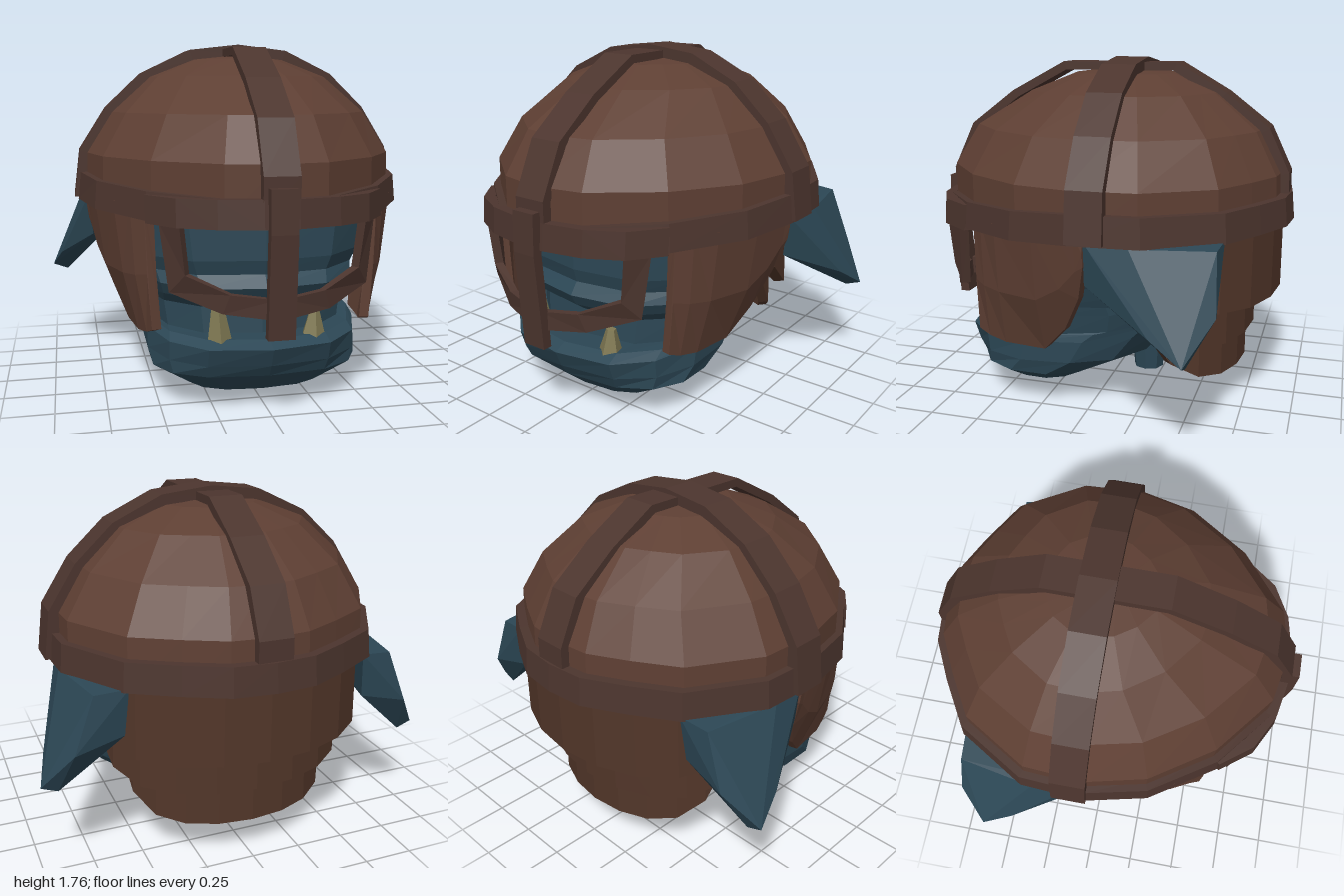
import * as THREE from 'three';
import { ConvexGeometry } from 'three/addons/geometries/ConvexGeometry.js';

const mat = (color) => new THREE.MeshStandardMaterial({ color, flatShading: true, side: THREE.DoubleSide });
const V = (x, y, z) => new THREE.Vector3(x, y, z);
const lerp = THREE.MathUtils.lerp;

// Skin a list of closed cross-sections; loop joins the last to the first, otherwise ends are capped
function loft(sections, loop = false) {
  const n = sections[0].length, m = sections.length, tris = [];
  for (let i = 0; i < (loop ? m : m - 1); i++) {
    const A = sections[i], B = sections[(i + 1) % m];
    for (let j = 0; j < n; j++) {
      const k = (j + 1) % n;
      tris.push([A[j], A[k], B[k]], [A[j], B[k], B[j]]);
    }
  }
  if (!loop) {
    for (let j = 1; j < n - 1; j++) {
      tris.push([sections[0][0], sections[0][j + 1], sections[0][j]]);
      tris.push([sections[m - 1][0], sections[m - 1][j], sections[m - 1][j + 1]]);
    }
  }
  // turn the faces outwards
  const volume = tris.reduce((s, [a, b, c]) => s + a.dot(b.clone().cross(c)), 0);
  const points = tris.flatMap(([a, b, c]) => (volume < 0 ? [a, c, b] : [a, b, c]));
  const g = new THREE.BufferGeometry().setFromPoints(points);
  g.computeVertexNormals();
  return g;
}

// Helmet outline seen from above, [x, z]
const half = [[0, 0.9], [0.25, 0.85], [0.56, 0.6], [0.77, 0.28], [0.84, -0.02], [0.82, -0.35], [0.62, -0.69], [0.4, -0.82], [0.2, -0.92], [0, -0.94]];
const outline = [...half, ...half.slice(1, -1).reverse().map(([x, z]) => [-x, z])];
const onOutline = ([x, z], s, y) => V(x * s, y, (z + 0.02) * s - 0.02);

export function createModel() {
  const model = new THREE.Group();
  const leather = mat(0x5e3f33), strapMat = mat(0x4c352e), plate = mat(0x523629);
  const skin = mat(0x2c4755), tuskMat = mat(0x7f7852);
  const add = (name, geometry, material) => {
    const mesh = new THREE.Mesh(geometry, material);
    mesh.name = name;
    model.add(mesh);
    return mesh;
  };
  const flip = (sections, side) => sections.map((s) => s.map((p) => V(p.x * side, p.y, p.z)));

  // Hollow dome rings: width scale, front z, back z, y; outer side up, inner side down
  const domeRings = [
    [0.96, 0.86, -0.9, 0.95], [0.955, 0.86, -0.89, 1.2], [0.8, 0.73, -0.78, 1.41],
    [0.575, 0.43, -0.56, 1.59], [0.3, 0.2, -0.34, 1.68], [0.01, 0, -0.06, 1.705],
  ];
  const inner = domeRings.map(([s, f, b, y]) => [s * 0.95, f * 0.95, b * 0.95, y - 0.035 * (y > 1)]).reverse();
  add('helmetDome', loft([...domeRings, ...inner].map(([s, f, b, y]) =>
    outline.map(([x, z]) => V(x * s, y, lerp(b, f, (z + 0.94) / 1.84)))), true), leather);

  // Rim band, dipping towards the front
  add('rimBand', loft(outline.map((p) => {
    const dip = Math.max(0, p[1]);
    const low = 0.96 - 0.05 * dip, high = 1.1 - 0.06 * dip;
    return [onOutline(p, 1.015, low), onOutline(p, 1, high), onOutline(p, 0.93, high), onOutline(p, 0.93, low)];
  }), true), strapMat);

  // Straps over the crown
  const crest = [[0.9, 0.98], [0.9, 1.15], [0.78, 1.4], [0.54, 1.58], [0.25, 1.735], [-0.35, 1.735], [-0.6, 1.59], [-0.82, 1.42], [-0.925, 1.2], [-0.93, 0.98]];
  add('crestStrap', loft(crest.map(([z, y]) => {
    const zi = z * 0.945, yi = 0.98 + (y - 0.98) * 0.945;
    return [V(-0.085, y, z), V(0.085, y, z), V(0.085, yi, zi), V(-0.085, yi, zi)];
  })), strapMat);
  const arc = [[0.87, 0.97], [0.84, 1.21], [0.7, 1.43], [0.51, 1.61], [0.26, 1.73], [0, 1.76]];
  const crossPath = [...arc, ...arc.slice(0, -1).reverse().map(([x, y]) => [-x, y])];
  add('crossStrap', loft(crossPath.map(([x, y]) => {
    const xi = x * 0.93, yi = 0.97 + (y - 0.97) * 0.93, zf = -0.015 + 0.01 * (y - 0.97);
    return [V(x, y, zf), V(x, y, zf - 0.175), V(xi, yi, zf - 0.175), V(xi, yi, zf)];
  })), strapMat);

  // Visor: brow plate, nose bar and eye frames
  const brow = [[0.57, 0.62], [0.45, 0.78], [0.28, 0.87], [0.08, 0.91]];
  const browPath = [...brow, ...brow.slice().reverse().map(([x, z]) => [-x, z])];
  add('browPlate', loft(browPath.map(([x, z]) => [V(x, 0.92, z), V(x, 1.05, z - 0.01), V(x * 0.93, 1.05, z - 0.06), V(x * 0.93, 0.92, z - 0.06)])), strapMat);
  const bar = [[1.1, 0.945], [0.9, 0.95], [0.55, 0.92], [0.42, 0.91]];
  add('noseBar', loft(bar.map(([y, z]) => [V(-0.063, y, z), V(0.063, y, z), V(0.063, y, z - 0.05), V(-0.063, y, z - 0.05)])), strapMat);
  const frame = [
    [V(0.55, 1.04, 0.62), V(0.45, 1.04, 0.75)],
    [V(0.515, 0.93, 0.67), V(0.435, 0.92, 0.77)],
    [V(0.475, 0.61, 0.69), V(0.41, 0.7, 0.76)],
    [V(0.25, 0.53, 0.82), V(0.22, 0.62, 0.84)],
    [V(0.02, 0.505, 0.89), V(0.02, 0.6, 0.89)],
  ].map(([a, b]) => [a, b, V(b.x * 0.94, b.y, b.z - 0.035), V(a.x * 0.94, a.y, a.z - 0.035)]);

  // Cheek guard columns: z, x at top, middle and bottom, bottom y
  const cheek = [
    [0.565, 0.57, 0.56, 0.54, 0.4], [0.5, 0.63, 0.61, 0.56, 0.375], [0.4, 0.7, 0.66, 0.59, 0.36],
    [0.18, 0.78, 0.73, 0.62, 0.36], [0.05, 0.8, 0.765, 0.68, 0.5], [-0.04, 0.81, 0.79, 0.745, 0.68], [-0.08, 0.81, 0.81, 0.8, 0.85],
  ].map(([z, xt, xm, xb, y]) => {
    const outer = [V(xt, 1, z), V(xm, lerp(1, y, 0.55), z), V(xb, y, z)];
    return [...outer, ...outer.slice().reverse().map((p) => V(p.x - 0.045, p.y, p.z - 0.01))];
  });

  // Drooping ear
  const ear = [
    [0.8, 0.97, -0.08], [0.78, 0.76, -0.08], [0.74, 0.7, -0.33], [0.6, 0.97, -0.69], [0.83, 0.96, -0.3], [0.62, 0.74, -0.67],
    [0.95, 0.6, -0.42], [0.86, 0.69, -0.7], [1, 0.5, -0.58], [0.92, 0.47, -0.58], [0.76, 0.96, -0.68],
  ];
  for (const side of [1, -1]) {
    const label = side > 0 ? 'left' : 'right';
    add(label + 'EyeFrame', loft(flip(frame, side)), strapMat);
    add(label + 'CheekGuard', loft(flip(cheek, side)), leather);
    add(label + 'Ear', new ConvexGeometry(ear.map(([x, y, z]) => V(x * side, y, z))), skin);
    // Tusk, the right one longer
    const h = side > 0 ? 0.14 : 0.22;
    const tusk = add(label + 'Tusk', new THREE.CylinderGeometry(0.025, 0.065, h, 5), tuskMat);
    tusk.position.set(0.235 * side, 0.33 + h / 2, 0.625);
    tusk.rotation.z = -0.05 * side;
  }

  // Overlapping neck lames: half width, front z, back z, top and bottom y at back, then at front ends
  const lames = [
    [0.71, -0.3, -0.9, 1, 0.6, 1, 0.72],
    [0.65, -0.25, -0.77, 0.68, 0.39, 0.72, 0.61],
    [0.55, -0.28, -0.73, 0.45, 0.2, 0.6, 0.53],
  ];
  lames.forEach(([w, zF, zB, topB, lowB, topF, lowF], i) => {
    const sections = [];
    for (let k = 0; k <= 10; k++) {
      const a = (k / 10 - 0.5) * Math.PI;
      const x = w * Math.sin(a), z = lerp(zF, zB, Math.cos(a) ** 0.9);
      const f = ((z - zB) / (zF - zB)) ** 2.6;
      const top = lerp(topB, topF, f), low = lerp(lowB, lowF, f);
      sections.push([V(x, low, z), V(x * 0.99, top, z), V(x * 0.92, top, z + 0.04), V(x * 0.93, low, z + 0.04)]);
    }
    add('neckLame' + (i + 1), loft(sections), plate);
  });

  // Head rings: front y, front z, back y, back z, half width
  const rings = [
    [0, 0.38, 0.01, 0.26, 0.1], [0.07, 0.56, 0.06, 0.13, 0.34], [0.18, 0.69, 0.17, -0.06, 0.53], [0.24, 0.73, 0.28, -0.3, 0.55],
    [0.33, 0.77, 0.42, -0.43, 0.55], [0.36, 0.7, 0.48, -0.48, 0.54], [0.35, 0.55, 0.52, -0.5, 0.53], [0.48, 0.54, 0.58, -0.52, 0.55],
    [0.53, 0.61, 0.62, -0.54, 0.56], [0.59, 0.645, 0.66, -0.56, 0.58], [0.65, 0.6, 0.72, -0.59, 0.6], [0.72, 0.62, 0.8, -0.63, 0.64],
    [0.92, 0.62, 0.96, -0.68, 0.68], [1.15, 0.58, 1.15, -0.66, 0.66], [1.4, 0.4, 1.4, -0.5, 0.45],
  ];
  const soft = (v, e) => Math.sign(v) * Math.abs(v) ** e;
  add('head', loft(rings.map(([yF, zF, yB, zB, w]) => Array.from({ length: 14 }, (_, k) => {
    const a = (k / 14) * Math.PI * 2;
    const f = (1 - soft(Math.cos(a), 0.9)) / 2;
    return V(w * soft(Math.sin(a), 0.75), lerp(yF, yB, f ** 1.4), lerp(zF, zB, f));
  }))), skin);

  // Neck stump below the skull
  const stump = add('neckStump', new THREE.CylinderGeometry(0.11, 0.08, 0.33, 8), skin);
  stump.position.set(0, 0.235, -0.2);

  return model;
}
